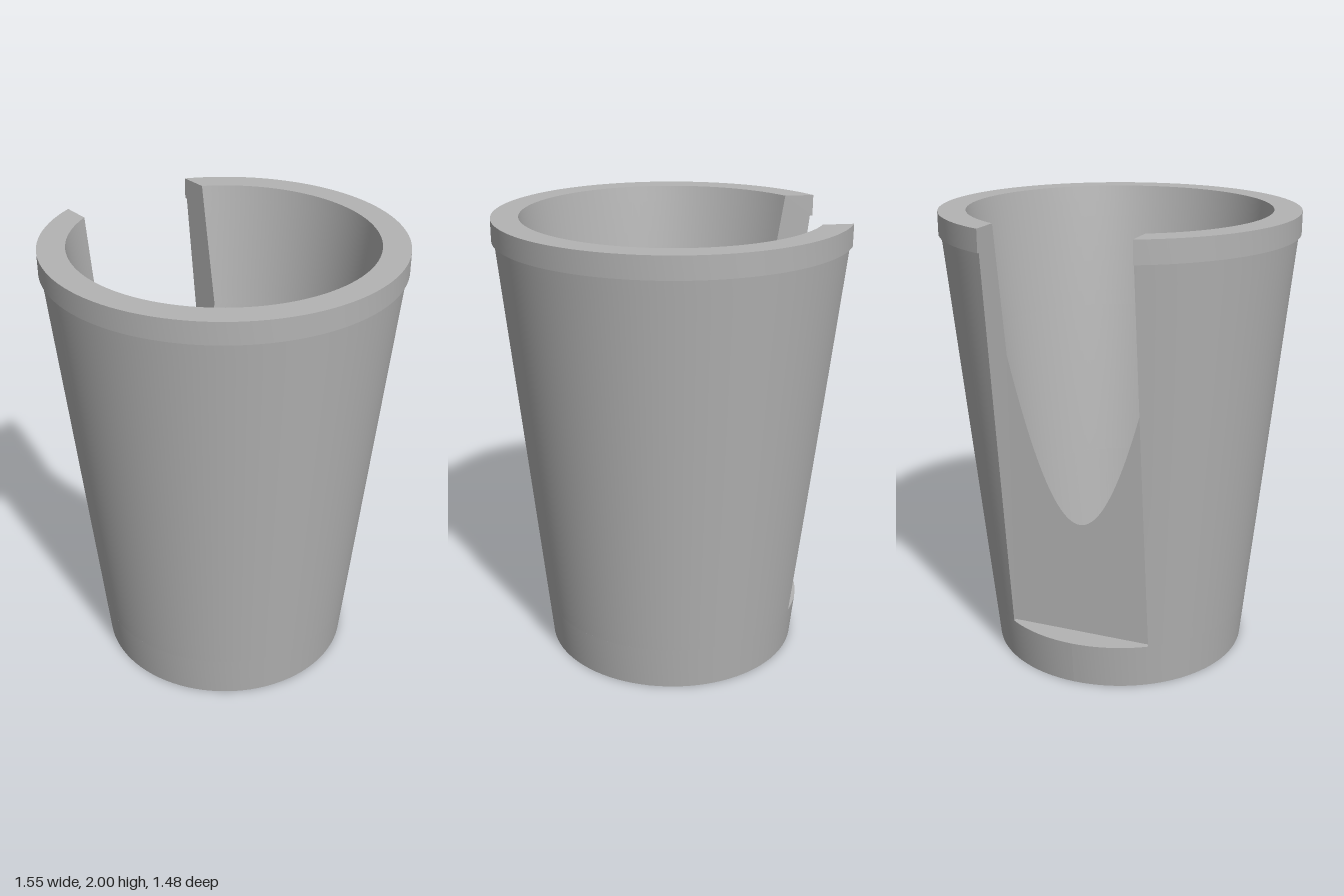
import * as THREE from 'three';

const H = 2, RIM_Y = 1.905, RIM_R = 0.773;      // overall height, rim band
const SLOT_X = 0.32, SLOT_Z = 0.483, SLOT_Y = 0.2; // slot half width, depth plane, floor
const AXIS_Z = -0.037, SEG = 96;

const outerR = (y) => 0.574 + (0.762 - 0.574) * y / RIM_Y;
const innerR = (y) => 0.387 + (0.655 - 0.387) * y / H;
const innerY = (r) => (r - 0.387) * H / (0.655 - 0.387);
const tipY = innerY(SLOT_Z);                            // bore first meets the slot plane
const sideY = innerY(Math.hypot(SLOT_Z, SLOT_X));       // bore reaches the slot sides

// Points round the axis, leaving a gap of half-angle `gap` at the back
function arc(r, y, gap = 0) {
  return Array.from({ length: SEG + 1 }, (_, i) => {
    const a = gap + (2 * Math.PI - 2 * gap) * i / SEG;
    return [r * Math.sin(a), y, -r * Math.cos(a)];
  });
}
const slotArc = (r, y) => arc(r, y, Math.asin(SLOT_X / r));
const steps = (a, b, n) => Array.from({ length: n + 1 }, (_, i) => a + (b - a) * i / n);

// Skin a surface through equal-length rows of points
function loft(rows) {
  const n = rows[0].length, index = [];
  for (let j = 0; j < rows.length - 1; j++) {
    for (let i = 0; i < n - 1; i++) {
      const a = j * n + i, b = a + n;
      index.push(a, a + 1, b, a + 1, b + 1, b);
    }
  }
  const g = new THREE.BufferGeometry();
  g.setAttribute('position', new THREE.Float32BufferAttribute(rows.flat(2), 3));
  g.setIndex(index);
  g.computeVertexNormals();
  return g;
}

export function createModel() {
  const model = new THREE.Group();
  model.name = 'slottedCup';
  const grey = new THREE.MeshStandardMaterial({ color: 0xb3b3b3 });
  grey.name = 'grey';
  const add = (name, rows) => {
    const mesh = new THREE.Mesh(loft(rows), grey);
    mesh.name = name;
    mesh.position.z = AXIS_Z;
    model.add(mesh);
  };

  // Tapered outside and rim band
  add('baseRing', [arc(outerR(SLOT_Y), SLOT_Y), arc(outerR(0), 0)]);
  add('outerWall', steps(RIM_Y, SLOT_Y, 24).map((y) => slotArc(outerR(y), y)));
  add('rimBand', [slotArc(RIM_R, H), slotArc(RIM_R, RIM_Y)]);
  add('rimUnderside', [slotArc(RIM_R, RIM_Y), slotArc(outerR(RIM_Y), RIM_Y)]);
  add('rimTop', [slotArc(innerR(H), H), slotArc(RIM_R, H)]);
  add('bottom', [arc(outerR(0), 0), arc(innerR(0), 0)]);

  // Tapered bore, opened where the slot breaks through
  const breakYs = steps(0, 1, 24).map((t) => tipY + (sideY - tipY) * t * t);
  add('boreLower', [0, tipY].map((y) => arc(innerR(y), y)));
  add('boreMiddle', breakYs.map((y) =>
    arc(innerR(y), y, Math.acos(Math.min(1, SLOT_Z / innerR(y))))));
  add('boreUpper', steps(sideY, H, 8).map((y) => slotArc(innerR(y), y)));

  // Flat back of the slot, either side of the curved opening
  const halfOpening = (y) => Math.sqrt(Math.max(0, innerR(y) ** 2 - SLOT_Z ** 2));
  const planeYs = [SLOT_Y, ...breakYs].reverse();
  add('slotBackLeft', planeYs.map((y) => [[halfOpening(y), y, -SLOT_Z], [SLOT_X, y, -SLOT_Z]]));
  add('slotBackRight', planeYs.map((y) => [[-SLOT_X, y, -SLOT_Z], [-halfOpening(y), y, -SLOT_Z]]));

  // Slot floor
  const xs = steps(-SLOT_X, SLOT_X, 24);
  add('slotFloor', [
    xs.map((x) => [x, SLOT_Y, -SLOT_Z]),
    xs.map((x) => [x, SLOT_Y, -Math.sqrt(outerR(SLOT_Y) ** 2 - x * x)]),
  ]);

  // Upright slot sides, stepping out at the rim
  const depth = (r) => Math.sqrt(r * r - SLOT_X ** 2);
  const section = (x, y, r) => {
    const inner = Math.sqrt(Math.max(SLOT_Z ** 2, innerR(y) ** 2 - SLOT_X ** 2));
    return [[x, y, -inner], [x, y, -depth(r)]];
  };
  const side = (x) => [
    ...steps(SLOT_Y, sideY, 8).map((y) => section(x, y, outerR(y))),
    ...steps(sideY, RIM_Y, 8).slice(1).map((y) => section(x, y, outerR(y))),
    section(x, RIM_Y, RIM_R),
    section(x, H, RIM_R),
  ];
  add('slotSideLeft', side(SLOT_X).reverse());
  add('slotSideRight', side(-SLOT_X));

  return model;
}
